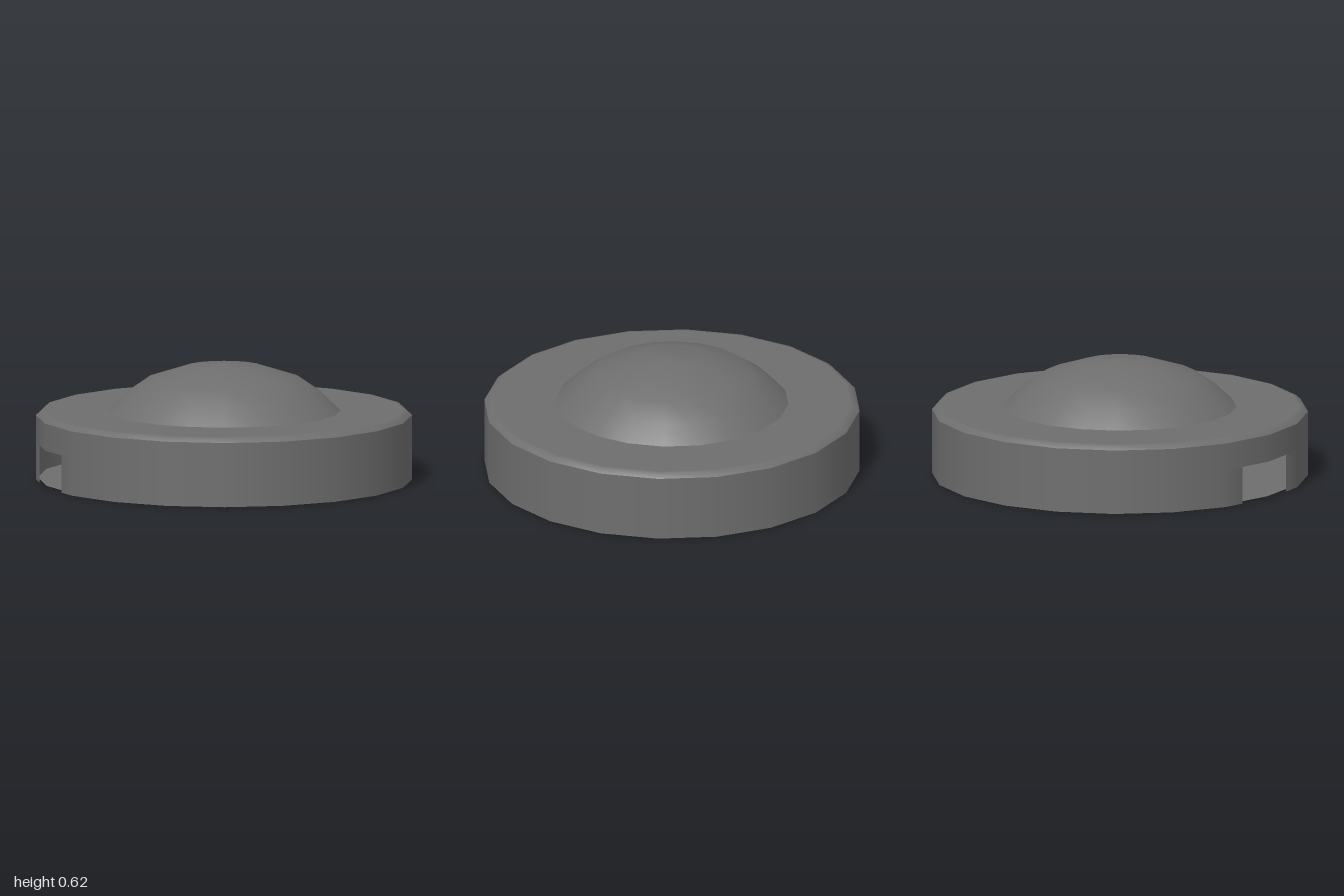
import * as THREE from 'three';

const SIDES = 20;
const START = Math.PI * 1.5; // seam at -x, where the notch sits

export function createModel() {
  const group = new THREE.Group();
  const grey = new THREE.MeshStandardMaterial({ color: 0x6e6e6e, side: THREE.DoubleSide });
  grey.name = 'dark grey';

  const add = (name, geometry) => {
    const mesh = new THREE.Mesh(geometry, grey);
    mesh.name = name;
    group.add(mesh);
    return mesh;
  };
  const lathe = (points) =>
    new THREE.LatheGeometry(points.map(([r, y]) => new THREE.Vector2(r, y)), SIDES, START);

  // Lower wall: its two ends at the seam are pulled back to open the notch
  const lower = lathe([[1, 0], [1, 0.2]]);
  const pos = lower.attributes.position;
  for (let i = 0; i < 2; i++) {
    pos.setXYZ(i, -0.97, pos.getY(i), 0.19);
    const j = SIDES * 2 + i;
    pos.setXYZ(j, -0.97, pos.getY(j), -0.19);
  }
  add('lowerWall', lower);

  // Closed wall above the notch
  add('upperWall', lathe([[1, 0.2], [1, 0.345]]));

  // Bevelled rim and flat top ring
  add('topRing', lathe([[1, 0.345], [0.975, 0.368], [0.955, 0.37], [0.62, 0.37]]));

  // Shallow dome, hollow underneath
  add('dome', lathe([[0.62, 0.37], [0.53, 0.457], [0.41, 0.54], [0.21, 0.605], [0, 0.625]]));

  // Floor ring with a wide round opening
  const floor = new THREE.RingGeometry(0.63, 0.99, SIDES, 1);
  floor.rotateX(-Math.PI / 2);
  add('floorRing', floor).position.y = 0.01;

  return group;
}
